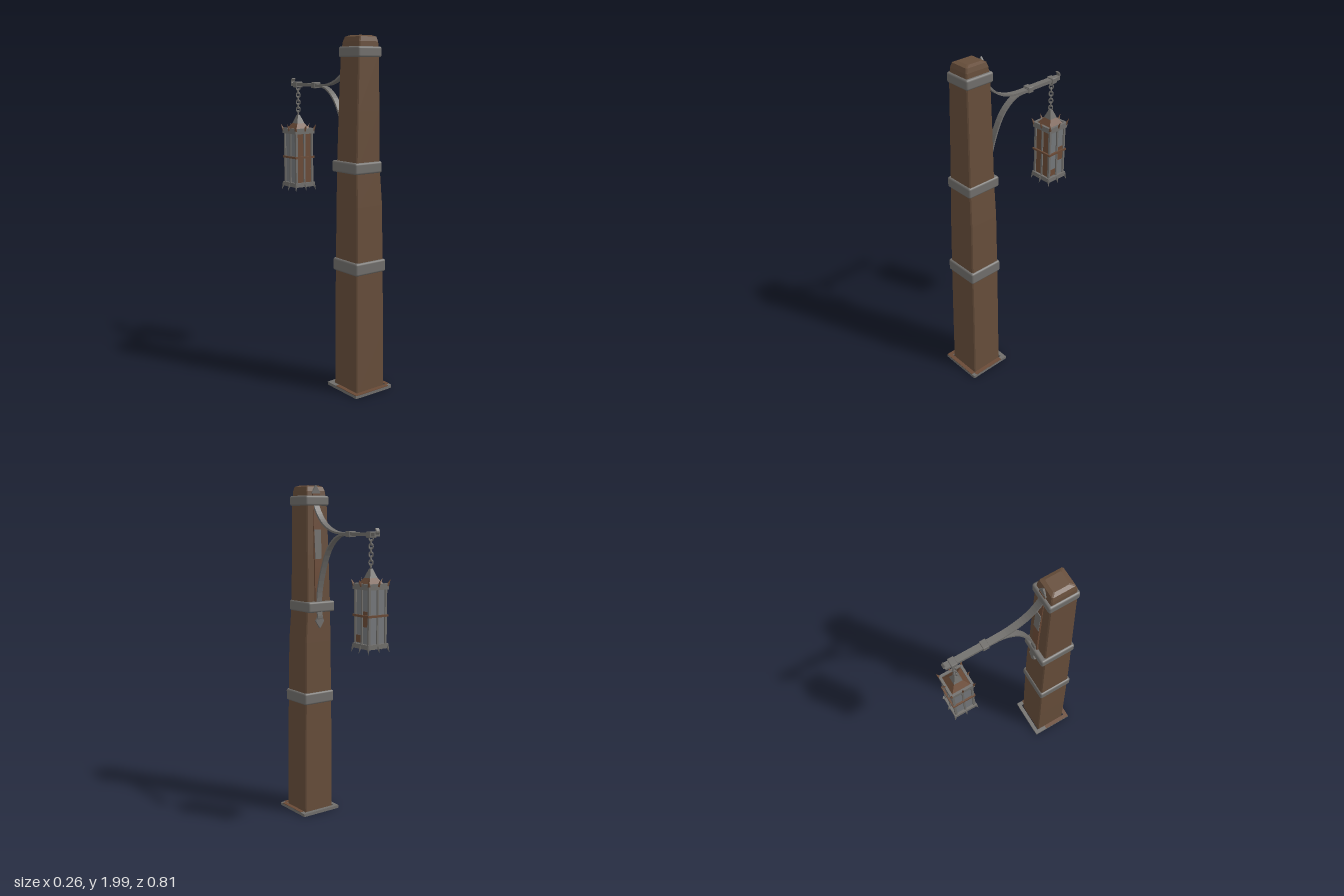
import * as THREE from 'three';
import { RoundedBoxGeometry } from 'three/addons/geometries/RoundedBoxGeometry.js';

export function createModel() {
  const root = new THREE.Group();
  root.name = 'hangingLanternPost';
  const mat = (name, color, side = THREE.FrontSide) => {
    const m = new THREE.MeshStandardMaterial({ color, side });
    m.name = name;
    return m;
  };
  const wood = mat('wood', 0x664d3a, THREE.DoubleSide);
  const iron = mat('iron', 0x706e6b);
  const rust = mat('rust', 0x6a4a36);
  const glass = mat('dullGlass', 0x74777a);

  const add = (name, geo, m, x = 0, y = 0, z = 0, parent = root) => {
    const mesh = new THREE.Mesh(geo, m);
    mesh.name = name;
    mesh.position.set(x, y, z);
    parent.add(mesh);
    return mesh;
  };
  const box = (name, w, h, d, m, x, y, z, parent) =>
    add(name, new THREE.BoxGeometry(w, h, d), m, x, y, z, parent);

  // Chamfered rectangular sections [y, x0, x1, z0, z1], skinned and capped on top
  function loft(sections, c) {
    const rings = sections.map(([y, a, b, d, e]) => [
      [a + c, e], [b - c, e], [b, e - c], [b, d + c],
      [b - c, d], [a + c, d], [a, d + c], [a, e - c]].map(([x, z]) => [x, y, z]));
    const pos = [];
    for (let i = 0; i + 1 < rings.length; i++) {
      for (let k = 0; k < 8; k++) {
        const n = (k + 1) % 8, [A, B] = [rings[i], rings[i + 1]];
        pos.push(...A[k], ...A[n], ...B[n], ...A[k], ...B[n], ...B[k]);
      }
    }
    const top = rings[rings.length - 1];
    for (let k = 1; k < 7; k++) pos.push(...top[0], ...top[k], ...top[k + 1]);
    const g = new THREE.BufferGeometry();
    g.setAttribute('position', new THREE.Float32BufferAttribute(pos, 3));
    g.computeVertexNormals();
    return g;
  }

  // Flat bar bent along a path of [z, y] points
  function strap(path, width, thick) {
    const curve = new THREE.SplineCurve(path.map(([z, y]) => new THREE.Vector2(-z, y)));
    const left = [], right = [];
    for (let i = 0; i <= 24; i++) {
      const p = curve.getPoint(i / 24), t = curve.getTangent(i / 24);
      const n = new THREE.Vector2(-t.y, t.x).multiplyScalar(thick / 2);
      left.push(p.clone().add(n));
      right.unshift(p.clone().sub(n));
    }
    const g = new THREE.ExtrudeGeometry(new THREE.Shape([...left, ...right]),
      { depth: width, bevelEnabled: false });
    return g.translate(0, 0, -width / 2).rotateY(Math.PI / 2);
  }

  // Tapered wooden post, open underneath
  add('post', loft([
    [0.01, -0.103, 0.1, 0.174, 0.375],
    [0.35, -0.102, 0.099, 0.174, 0.37],
    [0.72, -0.098, 0.094, 0.172, 0.365],
    [1.08, -0.094, 0.09, 0.173, 0.358],
    [1.29, -0.092, 0.077, 0.174, 0.35],
    [1.6, -0.084, 0.073, 0.178, 0.346],
    [1.9, -0.076, 0.069, 0.185, 0.343],
    [1.965, -0.068, 0.064, 0.192, 0.34],
    [1.99, -0.06, 0.058, 0.2, 0.333],
    [1.998, -0.04, 0.04, 0.22, 0.31],
  ], 0.006), wood);

  // Iron bands around the post: y, height, x0, x1, z0, z1
  for (const [y, h, x0, x1, z0, z1] of [
    [0.738, 0.072, -0.109, 0.104, 0.163, 0.375],
    [1.292, 0.064, -0.105, 0.084, 0.147, 0.36],
    [1.91, 0.058, -0.083, 0.08, 0.174, 0.352],
  ]) {
    add('postBand', new RoundedBoxGeometry(x1 - x0, h, z1 - z0, 2, 0.012), iron,
      (x0 + x1) / 2, y, (z0 + z1) / 2);
  }

  // Foot frame with rusted upper faces
  for (const s of [-1, 1]) {
    box('footFrameSide', 0.024, 0.018, 0.26, iron, s * 0.119, 0.019, 0.275);
    box('footFrameEnd', 0.214, 0.018, 0.024, iron, 0, 0.019, 0.275 + s * 0.119);
    box('footRustSide', 0.024, 0.003, s < 0 ? 0.18 : 0.2, rust, s * 0.119, 0.0285, s < 0 ? 0.315 : 0.285);
  }
  box('footRustFront', 0.214, 0.003, 0.024, rust, 0, 0.0285, 0.394);

  // Bracket: back plate, upper scroll with arm, lower brace
  const bracket = new THREE.Group();
  bracket.name = 'bracket';
  bracket.position.x = 0.003;
  root.add(bracket);
  add('backPlate', strap([[0.189, 1.95], [0.178, 1.7], [0.17, 1.5], [0.168, 1.3]], 0.05, 0.01), rust, 0, 0, 0, bracket);
  const patch = box('backPlatePatch', 0.045, 0.17, 0.004, iron, 0, 1.66, 0.1695, bracket);
  patch.rotation.x = 0.043;
  add('upperArm', strap([[0.19, 1.93], [0.184, 1.88], [0.14, 1.815], [0.08, 1.765],
    [0, 1.735], [-0.07, 1.727], [-0.14, 1.726]], 0.038, 0.011), iron, 0, 0, 0, bracket);
  add('lowerBrace', strap([[-0.14, 1.72], [-0.06, 1.717], [0, 1.69], [0.06, 1.63], [0.11, 1.53],
    [0.148, 1.41], [0.16, 1.32], [0.153, 1.24], [0.155, 1.22]], 0.036, 0.01), iron, 0, 0, 0, bracket);
  box('armBar', 0.036, 0.019, 0.25, iron, 0, 1.726, -0.245, bracket);
  for (const z of [-0.142, -0.322]) {
    add('armClamp', new RoundedBoxGeometry(0.048, 0.034, 0.036, 1, 0.004), iron, 0, 1.725, z, bracket);
  }
  add('armHook', strap([[-0.355, 1.73], [-0.372, 1.733], [-0.375, 1.745], [-0.366, 1.76]], 0.022, 0.008),
    iron, 0, 0, 0, bracket);

  // Spear-shaped ends of the bracket
  const spear = new THREE.ExtrudeGeometry(new THREE.Shape([[-0.015, 0], [0.015, 0], [0.03, 0.025], [0, 0.07], [-0.03, 0.025]]
    .map(([x, y]) => new THREE.Vector2(x, y))), { depth: 0.01, bevelEnabled: false });
  add('upperSpearTip', spear, iron, 0, 1.93, 0.185, bracket);
  const lowTip = add('lowerSpearTip', spear, iron, 0, 1.235, 0.15, bracket);
  lowTip.rotation.z = Math.PI;

  // Chain of alternating links
  const lantern = new THREE.Group();
  lantern.name = 'lantern';
  lantern.position.set(0.003, 0, -0.32);
  root.add(lantern);
  const link = new THREE.TorusGeometry(0.011, 0.004, 6, 12).scale(1, 1.3, 1);
  for (let i = 0; i < 8; i++) {
    const l = add('chainLink', link, iron, 0, 1.706 - i * 0.0215, 0, lantern);
    l.rotation.y = i % 2 ? Math.PI / 4 : -Math.PI / 4;
  }

  // Pyramid roof with iron cap
  const pyramid = (r0, r1, h) =>
    new THREE.CylinderGeometry(r0 * Math.SQRT2, r1 * Math.SQRT2, h, 4, 1).rotateY(Math.PI / 4).toNonIndexed();
  const flat = (g) => { g.computeVertexNormals(); return g; };
  add('roof', flat(pyramid(0.026, 0.056, 0.04)), rust, 0, 1.475, 0, lantern);
  add('roofCap', flat(pyramid(0.007, 0.026, 0.05)), iron, 0, 1.52, 0, lantern);

  // Four cage sides, each turned a quarter
  const spike = new THREE.ConeGeometry(0.009, 0.042, 6);
  for (let i = 0; i < 4; i++) {
    const side = new THREE.Group();
    side.name = 'lanternSide';
    side.rotation.y = i * Math.PI / 2;
    lantern.add(side);
    box('pane', 0.112, 0.31, 0.006, i === 0 ? rust : glass, 0, 1.285, 0.053, side);
    if (i === 1) {
      box('paneRustUpper', 0.045, 0.085, 0.003, rust, 0.03, 1.275, 0.057, side);
      box('paneRustLower', 0.05, 0.04, 0.003, rust, -0.028, 1.165, 0.057, side);
    }
    box('cornerBar', 0.013, 0.32, 0.013, iron, 0.057, 1.285, 0.057, side);
    box('middleBar', 0.01, 0.32, 0.01, iron, 0, 1.285, 0.059, side);
    box('topRail', 0.14, 0.032, 0.014, iron, 0, 1.45, 0.063, side);
    box('waistRail', 0.138, 0.012, 0.01, rust, 0, 1.292, 0.064, side);
    box('bottomRail', 0.14, 0.026, 0.014, iron, 0, 1.126, 0.063, side);
    box('floorBar', 0.01, 0.008, 0.056, rust, 0, 1.118, 0.028, side);

    // Outward-curving spikes at the middle and corner of each rail
    for (const [x, z, turn] of [[0, 0.074, 0], [0.07, 0.07, Math.PI / 4]]) {
      for (const up of [1, -1]) {
        const arm = new THREE.Group();
        arm.name = 'spikeMount';
        arm.position.set(x, up > 0 ? 1.472 : 1.107, z);
        arm.rotation.y = turn;
        side.add(arm);
        const s = add('spike', spike, up > 0 ? rust : iron, 0, 0, 0, arm);
        s.rotation.x = up > 0 ? 0.45 : Math.PI - 0.35;
      }
    }
  }
  box('lanternFloor', 0.106, 0.006, 0.106, glass, 0, 1.127, 0, lantern);

  return root;
}
